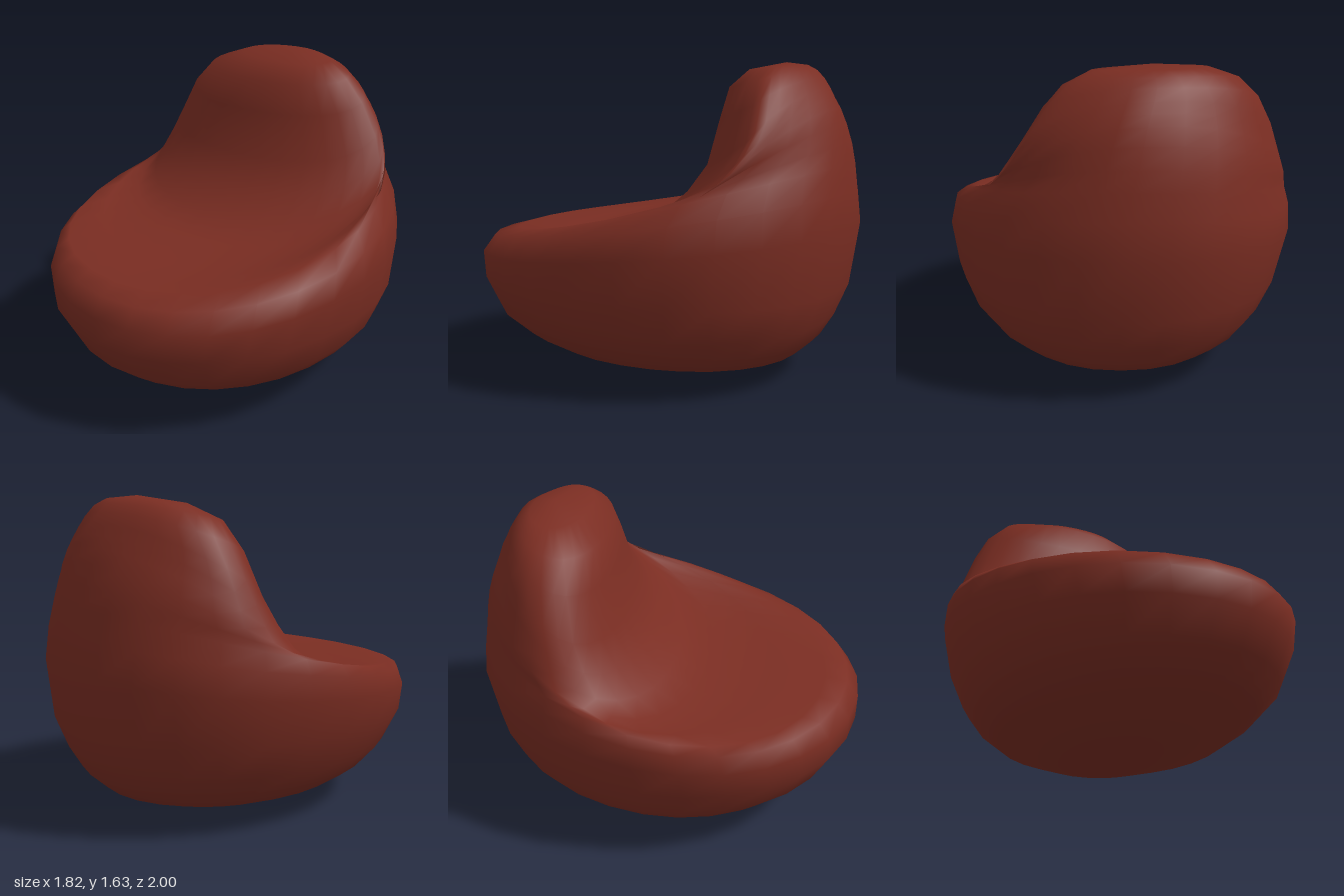
import * as THREE from 'three';

const SIDES = 28;

// Cross-sections from floor to crown:
// [front y, back y, front z, back z, min x, max x, skew of z along x]
const RINGS = [
  [0.003, 0.003, 0.10, -0.35, -0.20, 0.14, 0],
  [0.035, 0.035, 0.40, -0.48, -0.38, 0.30, 0],
  [0.12, 0.12, 0.62, -0.73, -0.59, 0.59, 0.04],
  [0.20, 0.20, 0.78, -0.82, -0.70, 0.71, 0.06],
  [0.31, 0.31, 0.91, -0.885, -0.785, 0.81, 0.08],
  [0.48, 0.48, 1.00, -0.955, -0.86, 0.875, 0.08],
  [0.62, 0.80, 1.00, -1.00, -0.908, 0.908, 0.08],
  [0.71, 0.98, 0.94, -0.985, -0.90, 0.875, 0.06],
  // seat, closing in towards the backrest
  [0.738, 1.12, 0.84, -0.97, -0.875, 0.785, 0.02],
  [0.738, 1.22, 0.56, -0.955, -0.86, 0.715, -0.05],
  [0.755, 1.32, 0.25, -0.93, -0.845, 0.66, -0.13],
  [0.825, 1.40, 0.08, -0.90, -0.82, 0.60, -0.19],
  // backrest
  [0.95, 1.45, -0.05, -0.87, -0.79, 0.54, -0.23],
  [1.10, 1.50, -0.15, -0.84, -0.755, 0.47, -0.25],
  [1.34, 1.55, -0.22, -0.80, -0.68, 0.37, -0.24],
  [1.50, 1.59, -0.28, -0.76, -0.575, 0.27, -0.22],
  [1.59, 1.615, -0.41, -0.71, -0.42, 0.14, -0.15],
];

const power = (v, e) => Math.sign(v) * Math.abs(v) ** e;

function ringPoints([yF, yB, zF, zB, x0, x1, skew]) {
  const rx = (x1 - x0) / 2;
  const half = (zF - zB) / 2;
  const rzFront = Math.sqrt(half * half - (skew * rx) ** 2);
  const points = [];
  for (let i = 0; i < SIDES; i++) {
    const a = (i / SIDES) * Math.PI * 2;
    // the back corner at +x is rounder and takes less skew
    const roundCorner = a > Math.PI * 1.5;
    const e = roundCorner ? 0.96 + 0.3 * (yB - yF) : 0.95;
    const c = power(Math.cos(a), e);
    const s = power(Math.sin(a), e);
    const shift = skew * rx * c * (roundCorner ? 1 + s : 1);
    const rise = ((1 - s) / 2) ** 1.4;
    points.push(
      (x0 + x1) / 2 + rx * c,
      yF + (yB - yF) * rise,
      (zF + zB) / 2 + (s > 0 ? rzFront : half) * s + shift
    );
  }
  return points;
}

function bagGeometry() {
  const positions = RINGS.flatMap(ringPoints);
  const bottom = RINGS.length * SIDES;
  const top = bottom + 1;
  positions.push(-0.03, 0, -0.12, -0.15, 1.628, -0.6);

  const index = [];
  const last = (RINGS.length - 1) * SIDES;
  for (let i = 0; i < SIDES; i++) {
    const j = (i + 1) % SIDES;
    for (let r = 0; r < last; r += SIDES) {
      const a = r + i, b = r + j, c = a + SIDES, d = b + SIDES;
      index.push(a, c, b, b, c, d);
    }
    // close floor and crown
    index.push(bottom, i, j, top, last + j, last + i);
  }

  const geometry = new THREE.BufferGeometry();
  geometry.setAttribute('position', new THREE.Float32BufferAttribute(positions, 3));
  geometry.setIndex(index);
  geometry.computeVertexNormals();
  return geometry;
}

export function createModel() {
  const fabric = new THREE.MeshStandardMaterial({ color: 0x7a2d22 });
  fabric.name = 'russet fabric';

  const bag = new THREE.Mesh(bagGeometry(), fabric);
  bag.name = 'beanBag';

  const group = new THREE.Group();
  group.name = 'beanBagChair';
  group.add(bag);
  return group;
}
